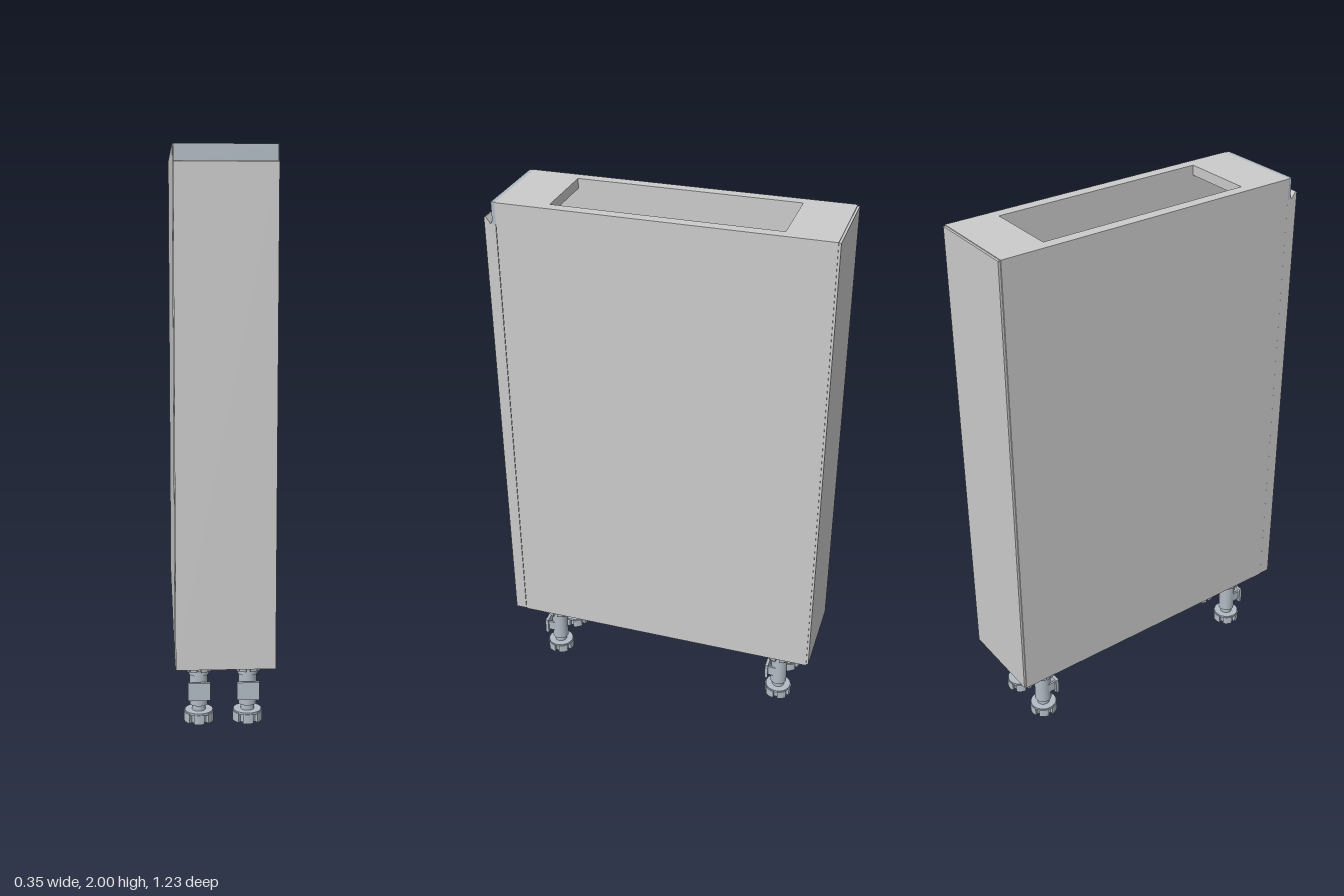
import * as THREE from 'three';

const grey = new THREE.MeshStandardMaterial({ color: 0xcccccc });
const steel = new THREE.MeshStandardMaterial({ color: 0xb2bbc5 });

function add(parent, name, geometry, material, x = 0, y = 0, z = 0) {
  const mesh = new THREE.Mesh(geometry, material);
  mesh.name = name;
  mesh.position.set(x, y, z);
  parent.add(mesh);
  return mesh;
}

// Box given by its limits on each axis
function box(parent, name, material, [x0, x1], [y0, y1], [z0, z1]) {
  return add(parent, name, new THREE.BoxGeometry(x1 - x0, y1 - y0, z1 - z0), material,
    (x0 + x1) / 2, (y0 + y1) / 2, (z0 + z1) / 2);
}

// Profile of [z, y] points, extruded across the width
function acrossWidth(parent, name, material, points, width) {
  const shape = new THREE.Shape(points.map(([z, y]) => new THREE.Vector2(-z, y)));
  const geometry = new THREE.ExtrudeGeometry(shape, { depth: width, bevelEnabled: false });
  geometry.translate(0, 0, -width / 2).rotateY(Math.PI / 2);
  return add(parent, name, geometry, material);
}

// Upright disc with slots cut into its rim
function slottedDisc(radius, inner, height, slots) {
  const shape = new THREE.Shape();
  const step = (Math.PI * 2) / slots;
  const gap = 0.16;
  for (let i = 0; i < slots; i++) {
    const a = i * step + gap, b = (i + 1) * step - gap;
    if (i === 0) shape.moveTo(inner * Math.cos(a), inner * Math.sin(a));
    else shape.lineTo(inner * Math.cos(a), inner * Math.sin(a));
    shape.lineTo(radius * Math.cos(a), radius * Math.sin(a));
    shape.absarc(0, 0, radius, a, b, false);
    shape.lineTo(inner * Math.cos(b), inner * Math.sin(b));
  }
  shape.closePath();
  const geometry = new THREE.ExtrudeGeometry(shape, { depth: height, bevelEnabled: false, curveSegments: 6 });
  return geometry.rotateX(-Math.PI / 2);
}

function createLeg(name) {
  const leg = new THREE.Group();
  leg.name = name;
  const cylinder = (part, r, y0, y1) =>
    add(leg, part, new THREE.CylinderGeometry(r, r, y1 - y0, 24), steel, 0, (y0 + y1) / 2, 0);
  // Foot
  add(leg, 'foot', slottedDisc(0.053, 0.04, 0.034, 6), steel);
  cylinder('footCollar', 0.05, 0.03, 0.039);
  // Stem
  cylinder('threadedNeck', 0.024, 0.038, 0.07);
  cylinder('stem', 0.032, 0.06, 0.18);
  cylinder('stemRing', 0.036, 0.172, 0.19);
  // Mounting socket with ribs
  add(leg, 'socket', slottedDisc(0.05, 0.036, 0.04, 4), steel, 0, 0.19, 0);
  cylinder('socketPlate', 0.056, 0.226, 0.24);
  for (let i = 0; i < 4; i++) {
    const rib = add(leg, 'socketRib', new THREE.BoxGeometry(0.01, 0.045, 0.012), steel);
    const a = (i * Math.PI) / 2 + Math.PI / 4;
    rib.position.set(0.048 * Math.cos(a), 0.2125, 0.048 * Math.sin(a));
    rib.rotation.y = -a;
  }
  // Plinth clip facing forward
  box(leg, 'clipPlate', steel, [-0.04, 0.04], [0.088, 0.152], [0.038, 0.05]);
  for (const s of [-1, 1]) {
    box(leg, 'clipArm', steel, [s * 0.027 - 0.004, s * 0.027 + 0.004], [0.1, 0.14], [0, 0.04]);
  }
  return leg;
}

export function createModel() {
  const model = new THREE.Group();
  model.name = 'narrowBaseCabinet';

  // Carcass
  const carcass = new THREE.Group();
  carcass.name = 'carcass';
  model.add(carcass);
  const body = [-0.607, 0.57];
  box(carcass, 'leftSide', grey, [0.133, 0.174], [0.24, 2], body);
  box(carcass, 'rightSide', grey, [-0.174, -0.133], [0.24, 2], body);
  box(carcass, 'bottomPanel', grey, [-0.133, 0.133], [0.24, 0.277], body);
  box(carcass, 'frontTopRail', grey, [-0.133, 0.133], [1.963, 2], [0.385, 0.57]);
  box(carcass, 'backTopRail', grey, [-0.133, 0.133], [1.963, 2], [-0.428, -0.607]
    .sort((a, b) => a - b));
  box(carcass, 'backPanel', grey, [-0.17, 0.17], [0.243, 1.997], [-0.615, -0.607]);

  // Door with a bevelled top edge
  acrossWidth(model, 'door', grey, [
    [0.573, 0.24], [0.573, 1.92], [0.592, 1.92], [0.597, 1.928],
    [0.609, 1.945], [0.615, 1.942], [0.615, 0.24],
  ].reverse(), 0.342);
  // Recessed grip strip above the door
  acrossWidth(model, 'gripStrip', steel, [
    [0.57, 1.92], [0.57, 2], [0.585, 2], [0.585, 1.932], [0.592, 1.92],
  ].reverse(), 0.342);

  // Pull-out tray inside
  const tray = new THREE.Group();
  tray.name = 'pullOutTray';
  model.add(tray);
  const run = [-0.55, 0.55];
  box(tray, 'trayFloor', steel, [-0.115, 0.115], [0.31, 0.325], run);
  for (const s of [-1, 1]) {
    const span = (a, b) => [s * a, s * b].sort((p, q) => p - q);
    box(tray, 'trayWall', steel, span(0.1, 0.115), [0.325, 0.46], run);
    box(tray, 'runner', steel, span(0.105, 0.12), [0.277, 0.31], run);
  }
  box(tray, 'sideBracket', steel, [-0.133, -0.115], [0.4, 0.46], [-0.05, 0.1]);

  // Four adjustable legs
  for (const [end, z] of [['front', 0.462], ['back', -0.485]]) {
    for (const [side, x] of [['Left', 0.085], ['Right', -0.088]]) {
      const leg = createLeg(`${end}${side}Leg`);
      leg.position.set(x, 0, z);
      model.add(leg);
    }
  }
  return model;
}
